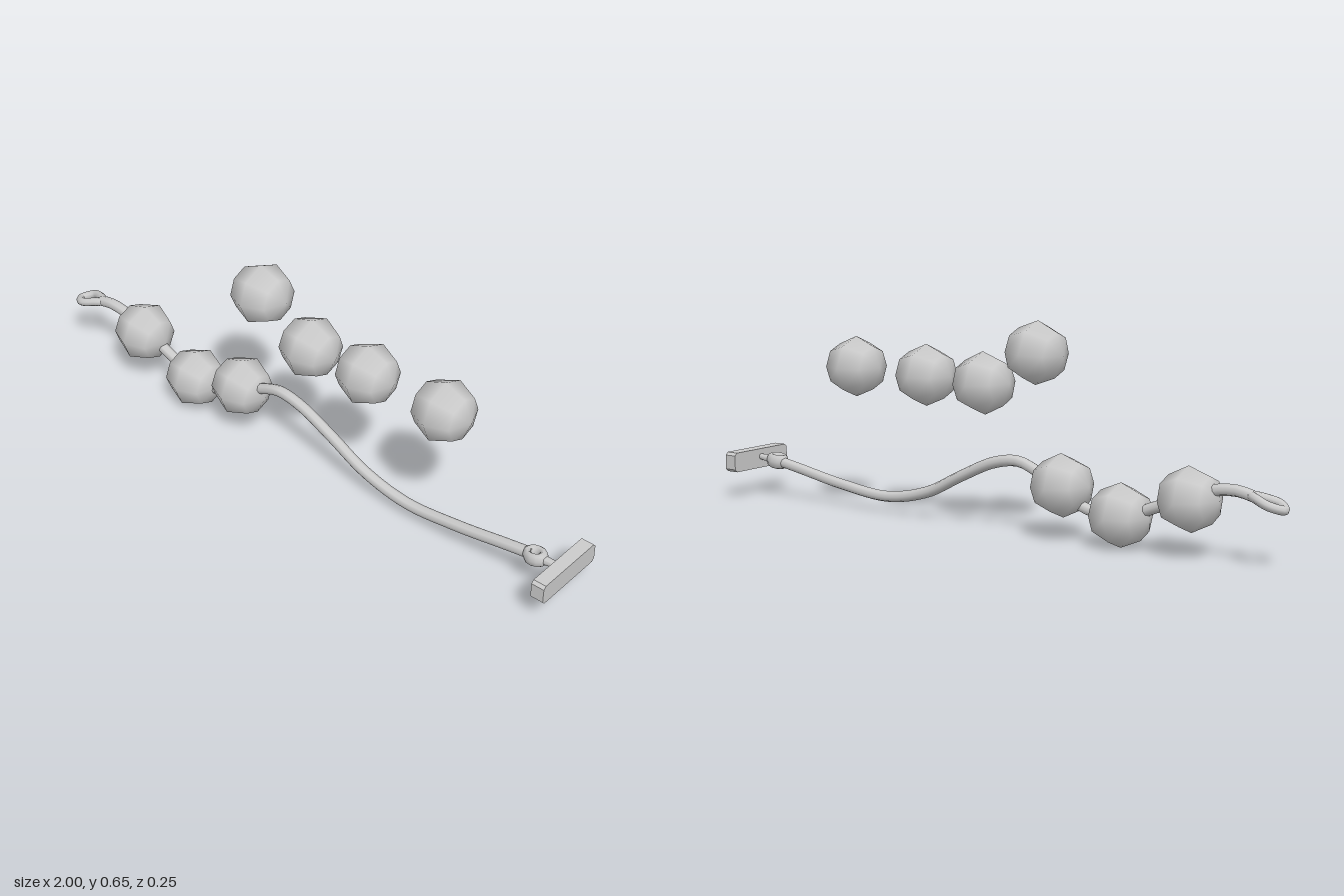
import * as THREE from 'three';

const material = new THREE.MeshStandardMaterial({ color: 0xcccccc });

function add(parent, name, geometry) {
  const mesh = new THREE.Mesh(geometry, material);
  mesh.name = name;
  parent.add(mesh);
  return mesh;
}

const curve = (points, closed = false) =>
  new THREE.CatmullRomCurve3(points.map(p => new THREE.Vector3(p[0], p[1], p[2] ?? -0.002)), closed);

export function createModel() {
  const model = new THREE.Group();
  model.name = 'beadedCord';

  // Wavy cord running through the threaded beads
  const cordPath = curve([
    [-0.89, 0.203], [-0.84, 0.213], [-0.77, 0.207], [-0.69, 0.18], [-0.575, 0.135],
    [-0.46, 0.095], [-0.335, 0.105], [-0.255, 0.15], [-0.165, 0.196], [-0.095, 0.22],
    [-0.005, 0.207], [0.12, 0.152], [0.25, 0.088], [0.41, 0.055], [0.6, 0.073],
    [0.785, 0.106], [0.872, 0.121],
  ]);
  add(model, 'cord', new THREE.TubeGeometry(cordPath, 72, 0.0175, 8));

  // Teardrop eyelet at the left end, tipped down with the cord
  const eyeletPath = curve([
    [-0.986, 0.174, 0], [-0.955, 0.186, 0.029], [-0.91, 0.199, 0.017],
    [-0.882, 0.205, 0], [-0.91, 0.199, -0.02], [-0.955, 0.186, -0.031],
  ], true);
  add(model, 'eyelet', new THREE.TubeGeometry(eyeletPath, 28, 0.0135, 8, true));

  // Small end ring and the shank that holds the toggle
  const ring = add(model, 'endRing', new THREE.TorusGeometry(0.02, 0.011, 8, 12));
  ring.rotation.set(Math.PI / 2, 0.12, 0);
  ring.scale.set(1.3, 1, 2.1);
  ring.position.set(0.884, 0.122, 0);
  const shank = add(model, 'shank', new THREE.CylinderGeometry(0.009, 0.015, 0.065, 8));
  shank.rotation.z = -Math.PI / 2 + 0.1;
  shank.position.set(0.934, 0.126, 0);

  // Toggle bar with clipped corners
  const w = 0.125, h = 0.032, c = 0.009;
  const outline = new THREE.Shape([
    [-w + c, -h], [w - c, -h], [w, -h + c], [w, h - c],
    [w - c, h], [-w + c, h], [-w, h - c], [-w, -h + c],
  ].map(p => new THREE.Vector2(...p)));
  const bar = add(model, 'toggleBar', new THREE.ExtrudeGeometry(outline, { depth: 0.042, bevelEnabled: false }));
  bar.rotation.y = Math.PI / 2;
  bar.position.set(0.958, 0.123, 0);

  // Eight-sided smooth beads: three threaded, four loose above
  const beadGeometry = new THREE.SphereGeometry(0.0965, 8, 4).rotateZ(Math.PI / 2);
  const beads = (name, list) => list.forEach(([x, y, tilt], i) => {
    const bead = add(model, name + (i + 1), beadGeometry);
    bead.position.set(x, y, -0.003);
    bead.rotation.z = tilt;
  });
  beads('threadedBead', [[-0.69, 0.172, -0.06], [-0.46, 0.099, 0], [-0.255, 0.164, -0.05]]);
  beads('looseBead', [[-0.162, 0.552, 0.05], [0.032, 0.447, -0.05], [0.253, 0.455, 0], [0.535, 0.462, 0]]);

  return model;
}
